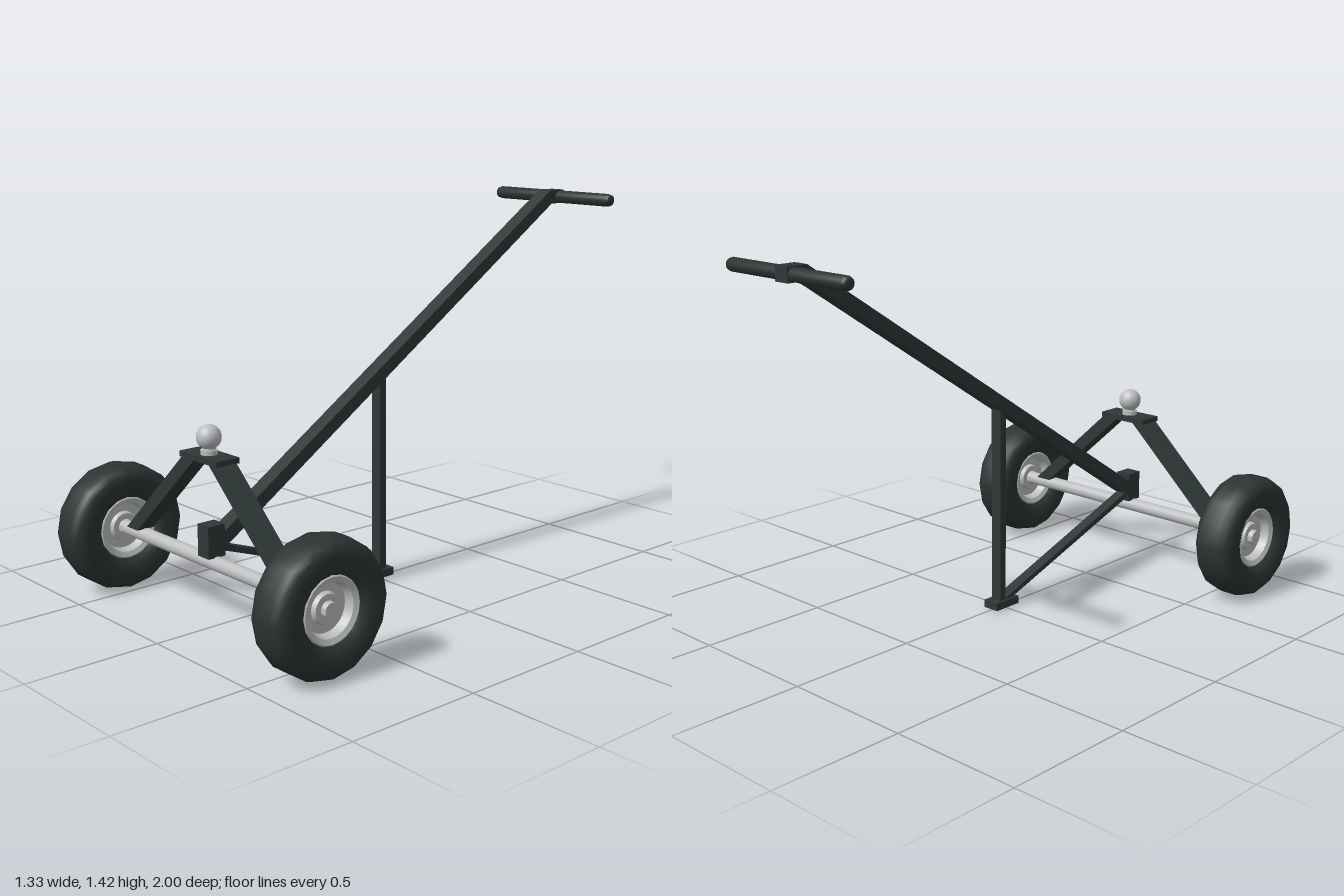
import * as THREE from 'three';
import { toCreasedNormals } from 'three/addons/utils/BufferGeometryUtils.js';

const material = (name, color) => {
  const m = new THREE.MeshStandardMaterial({ color });
  m.name = name;
  return m;
};

export function createModel() {
  const model = new THREE.Group();
  const paint = material('dark painted steel', 0x2e3836);
  const rubber = material('dark rubber', 0x2b3432);
  const metal = material('bare metal', 0xbcbec0);
  const V = (list) => list.map(([x, y]) => new THREE.Vector2(x, y));

  const add = (name, geometry, mat, x = 0, y = 0, z = 0, parent = model) => {
    const mesh = new THREE.Mesh(geometry, mat);
    mesh.name = name;
    mesh.position.set(x, y, z);
    parent.add(mesh);
    return mesh;
  };
  const box = (name, w, h, d, x, y, z) => add(name, new THREE.BoxGeometry(w, h, d), paint, x, y, z);

  // Outline extruded about its own plane
  const slab = (points, depth) => {
    const g = new THREE.ExtrudeGeometry(new THREE.Shape(V(points)), { depth, bevelEnabled: false });
    return g.translate(0, 0, -depth / 2);
  };
  // Side outline given as [z, y], extruded across x
  const sideSlab = (points, width) => slab(points, width).rotateY(-Math.PI / 2);

  const axleY = 0.238, axleZ = 0.765;

  // Pull bar with its mounting block and bent top end
  add('pullBar', sideSlab([[0.8, 0.26], [0.8, 0.375], [0.73, 0.375], [0.73, 0.348], [-0.92, 1.425],
    [-1, 1.425], [-1, 1.372], [-0.928, 1.372], [0.73, 0.289], [0.73, 0.26]], 0.062), paint);

  // Rounded hand grips
  const gripProfile = V([[0, 0], [0.024, 0], [0.025, 0.02], [0.025, 0.25], [0.021, 0.265], [0.014, 0.27], [0, 0.27]]);
  const gripGeometry = toCreasedNormals(new THREE.LatheGeometry(gripProfile, 12), 0.7);

  // Stand leg, foot and lower brace
  add('standLeg', sideSlab([[-0.03, 0.03], [0, 0.03], [0, 0.79], [-0.03, 0.81]], 0.044), paint);
  box('standFoot', 0.066, 0.03, 0.12, 0, 0.02, 0);
  add('lowerBrace', sideSlab([[0, 0.021], [0.735, 0.278], [0.735, 0.302], [0, 0.04]], 0.044), paint);

  // Axle
  const axle = new THREE.CylinderGeometry(0.026, 0.026, 1.18, 20).rotateZ(Math.PI / 2);
  add('axle', axle, metal, 0, axleY, axleZ);

  // Hitch plate, collar and ball
  box('hitchPlate', 0.214, 0.02, 0.096, 0, 0.612, axleZ);
  add('ballCollar', new THREE.CylinderGeometry(0.03, 0.03, 0.016, 20), metal, 0, 0.63, axleZ);
  add('ballNeck', new THREE.CylinderGeometry(0.02, 0.024, 0.03, 20), metal, 0, 0.645, axleZ);
  add('hitchBall', new THREE.SphereGeometry(0.044, 24, 16), metal, 0, 0.682, axleZ);

  // Wheel profiles as [radius, offset along the axle]
  const tyreHalf = [[0.112, 0.05], [0.128, 0.068], [0.15, 0.08], [0.185, 0.083], [0.21, 0.077], [0.229, 0.06], [0.237, 0.034]];
  const rimHalf = [[0, 0.056], [0.026, 0.056], [0.028, 0.036], [0.05, 0.036], [0.056, 0.02],
    [0.085, 0.02], [0.094, 0.052], [0.112, 0.06], [0.122, 0.052]];
  const mirrored = (half) => V([...half.map(([r, y]) => [r, -y]), ...half.slice().reverse()]);
  const tyreGeometry = new THREE.LatheGeometry(mirrored(tyreHalf), 16);
  const rimGeometry = toCreasedNormals(new THREE.LatheGeometry(mirrored(rimHalf), 24), 0.6);

  for (const [side, s] of [['left', 1], ['right', -1]]) {
    // Slanted support from axle to plate
    const strut = [[0.41, 0.26], [0.478, 0.26], [0.105, 0.605], [0.035, 0.605]].map(([x, y]) => [s * x, y]);
    add(side + 'Strut', slab(strut, 0.07), paint, 0, 0, axleZ);

    // Hand grip
    add(side + 'Grip', gripGeometry, rubber, s * 0.03, 1.398, -0.974).rotation.z = -s * Math.PI / 2;

    // Wheel
    const wheel = new THREE.Group();
    wheel.name = side + 'Wheel';
    wheel.position.set(s * 0.581, axleY, axleZ);
    wheel.rotation.z = -s * Math.PI / 2;
    add('tyre', tyreGeometry, rubber, 0, 0, 0, wheel);
    add('rim', rimGeometry, metal, 0, 0, 0, wheel);
    model.add(wheel);
  }

  return model;
}
